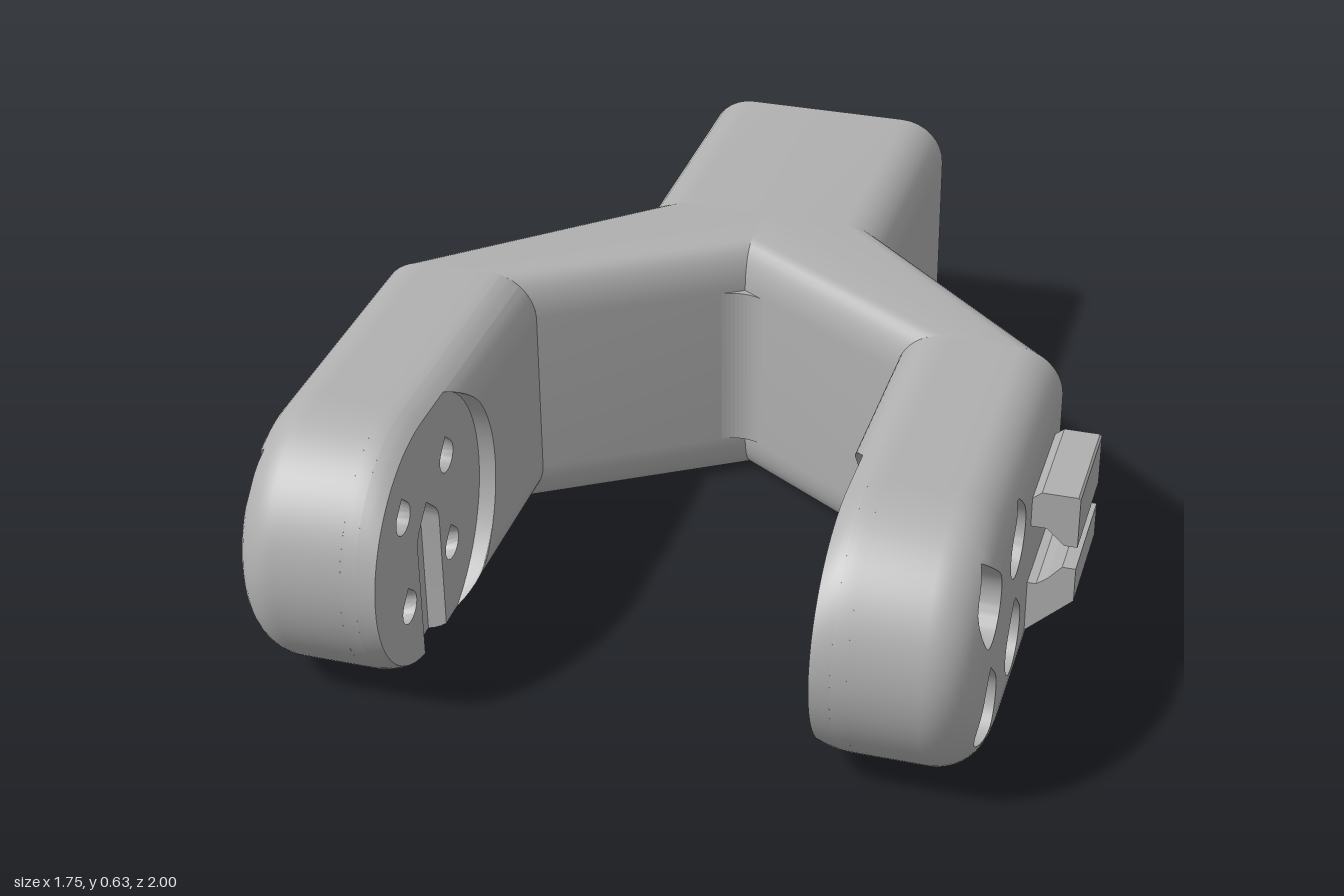
import * as THREE from 'three';
import { toCreasedNormals } from 'three/addons/utils/BufferGeometryUtils.js';

const H = 0.63, MID = H / 2;          // height and mid height
const R = 0.11;                       // edge rounding
const CX = -0.055;                    // symmetry plane of the fork
const INNER = 0.435, FACE = 0.475, FLOOR = 0.555, OUTER = 0.82; // arm x levels
const ARM_Z = 0.06, END_Z = 0.685, STEM_Z = -0.4;

const grey = new THREE.MeshStandardMaterial({ color: 0xb0b0b0, side: THREE.DoubleSide });
grey.name = 'grey plastic';

function add(group, name, geometry) {
  const mesh = new THREE.Mesh(geometry, grey);
  mesh.name = name;
  group.add(mesh);
  return mesh;
}

// surface through rows of points; keep() may reject triangles, empty ones are dropped
function grid(rings, closed = false, keep = () => true) {
  const n = rings[0].length, index = [];
  const points = rings.flat().map(p => new THREE.Vector3(...p));
  const face = (a, b, c) => {
    const area = new THREE.Triangle(points[a], points[b], points[c]).getArea();
    if (area > 1e-9 && keep(a, b, c)) index.push(a, b, c);
  };
  for (let i = 0; i < rings.length - 1; i++) {
    for (let j = 0; j < (closed ? n : n - 1); j++) {
      const k = (j + 1) % n;
      const a = i * n + j, b = i * n + k, c = (i + 1) * n + k, d = (i + 1) * n + j;
      face(a, b, c);
      face(a, c, d);
    }
  }
  const geo = new THREE.BufferGeometry().setFromPoints(points);
  geo.setIndex(index);
  return toCreasedNormals(geo, 0.5);
}

// rounded rectangle section with mid points on the top and bottom edges
function section(cx, halfWidth, z, inset = 0) {
  const hw = halfWidth - inset, hh = MID - inset, r = inset ? 0.004 : R, pts = [];
  const corner = (sx, sy, start) => {
    for (let i = 0; i <= 8; i++) {
      const a = start + (i / 8) * Math.PI / 2;
      pts.push([cx + sx * (hw - r) + r * Math.cos(a), MID + sy * (hh - r) + r * Math.sin(a), z]);
    }
  };
  pts.push([cx, MID - hh, z]);
  corner(1, -1, -Math.PI / 2);
  corner(1, 1, 0);
  pts.push([cx, MID + hh, z]);
  corner(-1, 1, Math.PI / 2);
  corner(-1, -1, Math.PI);
  return pts;
}

// start each loft line at the symmetry plane
const clip = (A, B) => A.map((p, i) => {
  const t = Math.max(0, -p[0] / (B[i][0] - p[0]));
  return p.map((v, k) => v + (B[i][k] - v) * t);
});

// teardrop outline in (z, y), point upward
function tearRadius(r, a) {
  const off = Math.abs(a - Math.PI / 2);
  return off < Math.PI / 4 ? r / Math.cos(Math.PI / 4 - off) : r;
}
function tear(z, y, r, from = 0, to = Math.PI * 2, n = 48) {
  return Array.from({ length: n + 1 }, (_, i) => {
    const a = from + (to - from) * i / n, q = tearRadius(r, a);
    return [z + q * Math.cos(a), y + q * Math.sin(a)];
  });
}
const arc = (from, to, r, n = 32) => Array.from({ length: n + 1 }, (_, i) => {
  const a = from + (to - from) * i / n;
  return [END_Z + r * Math.cos(a), MID + r * Math.sin(a)];
});

// inset of the rounded inner edge at x
const innerInset = x => R - Math.sqrt(Math.max(0, R * R - Math.max(0, INNER + R - x) ** 2));

// extrude a (z, y) outline along x
const toPath = pts => pts.map(([z, y]) => new THREE.Vector2(-z, y));
function plate(outline, holes, x0, x1) {
  const shape = new THREE.Shape(toPath(outline));
  holes.forEach(h => shape.holes.push(new THREE.Path(toPath(h.slice(0, -1)))));
  const geo = new THREE.ExtrudeGeometry(shape, { depth: x1 - x0, bevelEnabled: false, steps: 3 });
  geo.rotateY(Math.PI / 2).translate(x0, 0, 0);
  const p = geo.attributes.position;
  for (let i = 0; i < p.count; i++) {   // follow the rounded inner edge
    p.setY(i, MID + (p.getY(i) - MID) * (1 - innerInset(p.getX(i)) / MID));
  }
  return toCreasedNormals(geo, 0.5);
}

// height of the outer face, rounded off near its edge
function outerX(z, y) {
  const e = MID - (z < END_Z ? Math.abs(y - MID) : Math.hypot(z - END_Z, y - MID));
  const q = Math.max(0, R - e);
  return OUTER - R + Math.sqrt(Math.max(0, R * R - q * q));
}

function outerShell(holes) {
  const path = e => {
    const pts = [], n = 42;
    for (let i = 0; i < n; i++) pts.push([ARM_Z + (END_Z - ARM_Z) * i / n, H - e]);
    pts.push(...arc(Math.PI / 2, -Math.PI / 2, MID - e, 36));
    for (let i = n - 1; i >= 0; i--) pts.push([ARM_Z + (END_Z - ARM_Z) * i / n, e]);
    return pts;
  };
  const insets = [];
  for (let i = 0; i <= 10; i++) insets.push(R * (1 - Math.cos(i / 10 * Math.PI / 2)));
  for (let i = 1; i <= 14; i++) insets.push(R + (MID - R) * i / 14);
  const inside = [];
  const rings = [path(0).map(([z, y]) => { inside.push(-1); return [FLOOR, y, z]; })];
  insets.forEach(e => rings.push(path(e).map(([z, y]) => {
    let hit = -1;
    holes.forEach(([hz, hy, r], i) => {   // move points inside a hole to its rim
      const a = Math.atan2(y - hy, z - hz), q = tearRadius(r, a);
      if (hit < 0 && Math.hypot(z - hz, y - hy) < q) {
        hit = i; z = hz + q * Math.cos(a); y = hy + q * Math.sin(a);
      }
    });
    inside.push(hit);
    return [outerX(z, y), y, z];
  })));
  return grid(rings, false, (a, b, c) => inside[a] < 0 || inside[b] < 0 || inside[c] < 0);
}

function buildSide(name, centreHole) {
  const side = new THREE.Group();
  side.name = name;

  // diagonal branch from stem to arm, hollow inside
  for (const inset of [0, 0.075]) {
    const A = section(0, 0.31, STEM_Z, inset), B = section(0.6275, 0.1925, ARM_Z, inset);
    const rings = [clip(A, B), B];
    add(side, inset ? 'branchHollow' : 'branch', grid(inset ? rings.reverse() : rings, true));
  }
  const end = add(side, 'hollowEnd', new THREE.PlaneGeometry(0.24, 0.48));
  end.position.set(0.6275, MID, ARM_Z);
  end.rotation.y = Math.PI;

  // arm outer body with counterbores
  const spots = [0.56, 0.82].flatMap(z => [0.195, 0.45].map(y => [z, y]));
  const bores = spots.map(([z, y]) => [z, y, 0.08]);
  const screws = spots.map(([z, y]) => tear(z, y, 0.04));
  if (centreHole) {
    bores.push([0.69, 0.315, 0.04]);
    screws.push(tear(0.69, 0.315, 0.04));
  }
  add(side, 'armOuter', outerShell(bores));
  bores.forEach(([z, y, r]) => {
    const rim = tear(z, y, r);
    add(side, 'counterbore', grid([
      rim.map(p => [FLOOR, p[1], p[0]]), rim.map(p => [outerX(...p), p[1], p[0]])]));
  });

  // mounting plate, its inner layer notched by the cable slot
  const top = [[ARM_Z, H]], tip = arc(-Math.PI / 2, Math.PI / 2, MID);
  add(side, 'mountPlate', plate([[ARM_Z, 0], ...tip, ...top], screws, 0.52, FLOOR));
  const slot = [[0.625, 0], ...tear(0.69, MID, 0.065, Math.PI, 0, 24)];
  const start = -Math.PI / 2 + Math.asin(0.07 / MID);
  add(side, 'slottedPlate', plate([[ARM_Z, 0], ...slot, ...arc(start, Math.PI / 2, MID), ...top],
    screws.slice(0, 4), FACE, 0.52));

  // raised inner ridge cut by the round motor recess
  const edge = (x, s, back) => {
    const y = MID + s * (MID - innerInset(x));
    return [x, y, back ? ARM_Z : 0.69 - Math.sqrt(0.32 ** 2 - (y - MID) ** 2)];
  };
  const ss = Array.from({ length: 25 }, (_, i) => i / 12 - 1);
  const xs = Array.from({ length: 8 }, (_, i) => INNER + (FACE - INNER) * (i / 7) ** 2);
  add(side, 'ridgeFace', grid([
    ...[...xs].reverse().map(x => ss.map(s => edge(x, s, false))),
    ss.map(s => edge(INNER, s, true))]));
  for (const s of [1, -1]) {
    const rows = xs.map(x => [edge(x, s, true), edge(x, s, false)]);
    add(side, 'ridgeEdge', grid(s > 0 ? rows : rows.reverse()));
  }
  return side;
}

export function createModel() {
  const model = new THREE.Group();
  model.name = 'forkBracket';
  const fork = new THREE.Group();
  fork.name = 'fork';
  fork.position.x = CX;
  model.add(fork);

  // square hollow stem
  const ring = (z, inset) => section(0, 0.31, z, inset);
  add(fork, 'stem', grid([ring(-1, 0.075), ring(-1, 0), ring(STEM_Z, 0)], true));
  add(fork, 'stemHollow', grid([ring(STEM_Z, 0.075), ring(-1, 0.075)], true));

  // left and right branches with arms
  const right = buildSide('rightSide', true);
  right.scale.x = -1;
  fork.add(buildSide('leftSide', false), right);

  // fillet in the crotch
  const fillet = new THREE.Shape().moveTo(-0.06, 0.172);
  fillet.quadraticCurveTo(0, 0.209, 0.06, 0.172).lineTo(0, 0.215);
  const filletGeo = new THREE.ExtrudeGeometry(fillet, { depth: H - 2 * R, bevelEnabled: false });
  add(fork, 'crotchFillet', filletGeo.rotateX(-Math.PI / 2).translate(0, R, 0));

  // cable clip jaws on the left arm
  const jaws = {
    upperJaw: [[0.75, 0.39], [0.8, 0.39], [0.84, 0.352], [0.87, 0.352], [0.87, 0.475], [0.865, 0.48],
      [0.785, 0.48], [0.75, 0.45]],
    lowerJaw: [[0.75, 0.1], [0.77, 0.115], [0.87, 0.21], [0.87, 0.295], [0.84, 0.295], [0.81, 0.26],
      [0.785, 0.24], [0.75, 0.24]],
  };
  for (const [name, pts] of Object.entries(jaws)) {
    const shape = new THREE.Shape(pts.map(p => new THREE.Vector2(...p)));
    const geo = new THREE.ExtrudeGeometry(shape, { depth: 0.27, bevelEnabled: false });
    add(model, name, geo.translate(0, 0, 0.135));
  }
  return model;
}
